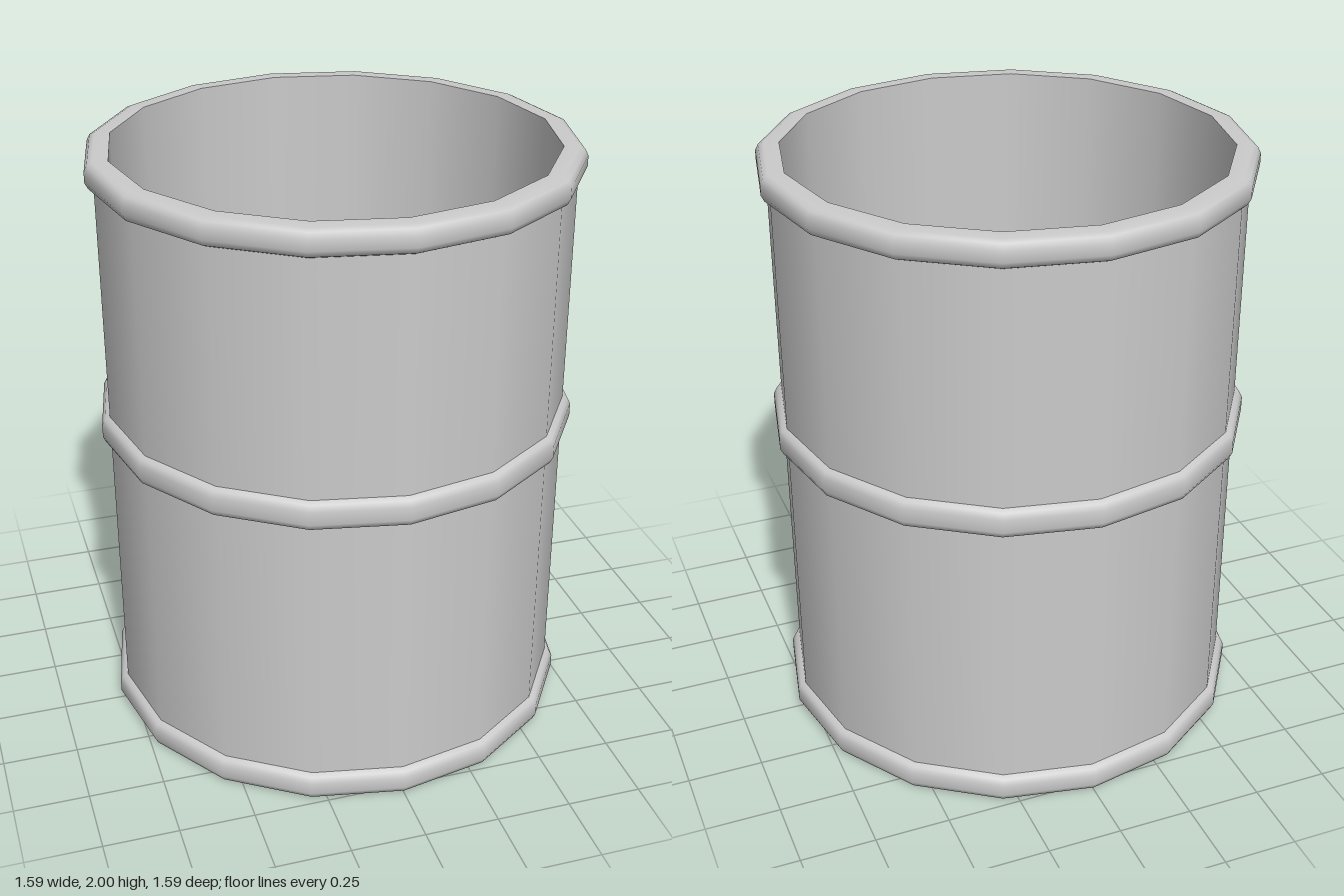
import * as THREE from 'three';

const SIDES = 16;
const OUTER = 0.77, INNER = 0.72, HOOP = 0.797, FLOOR = 0.05;

export function createModel() {
  const group = new THREE.Group();
  const material = new THREE.MeshStandardMaterial({ color: 0xcccccc });

  // Revolves a profile of [radius, height] points; upward profiles face outward
  function revolve(name, profile) {
    const points = profile.map(([r, y]) => new THREE.Vector2(r, y));
    const mesh = new THREE.Mesh(new THREE.LatheGeometry(points, SIDES), material);
    mesh.name = name;
    group.add(mesh);
  }

  // Rounded outer profile of a hoop between two heights
  function hoopProfile(y0, y1) {
    return [
      [OUTER, y0], [0.787, y0 + 0.008], [HOOP, y0 + 0.028],
      [HOOP, y1 - 0.028], [0.787, y1 - 0.008], [OUTER, y1],
    ];
  }

  // Barrel walls and floor
  revolve('outerWall', [[OUTER, 0], [OUTER, 2]]);
  revolve('innerWall', [[INNER, 2], [INNER, FLOOR]]);
  revolve('floor', [[INNER, FLOOR], [0, FLOOR]]);
  revolve('underside', [[0, 0], [OUTER, 0]]);

  // Hoops, the top one running inward over the rim
  revolve('bottomHoop', hoopProfile(0, 0.095));
  revolve('middleHoop', hoopProfile(1.03, 1.13));
  revolve('topHoop', [...hoopProfile(1.91, 2), [INNER, 2]]);

  return group;
}
